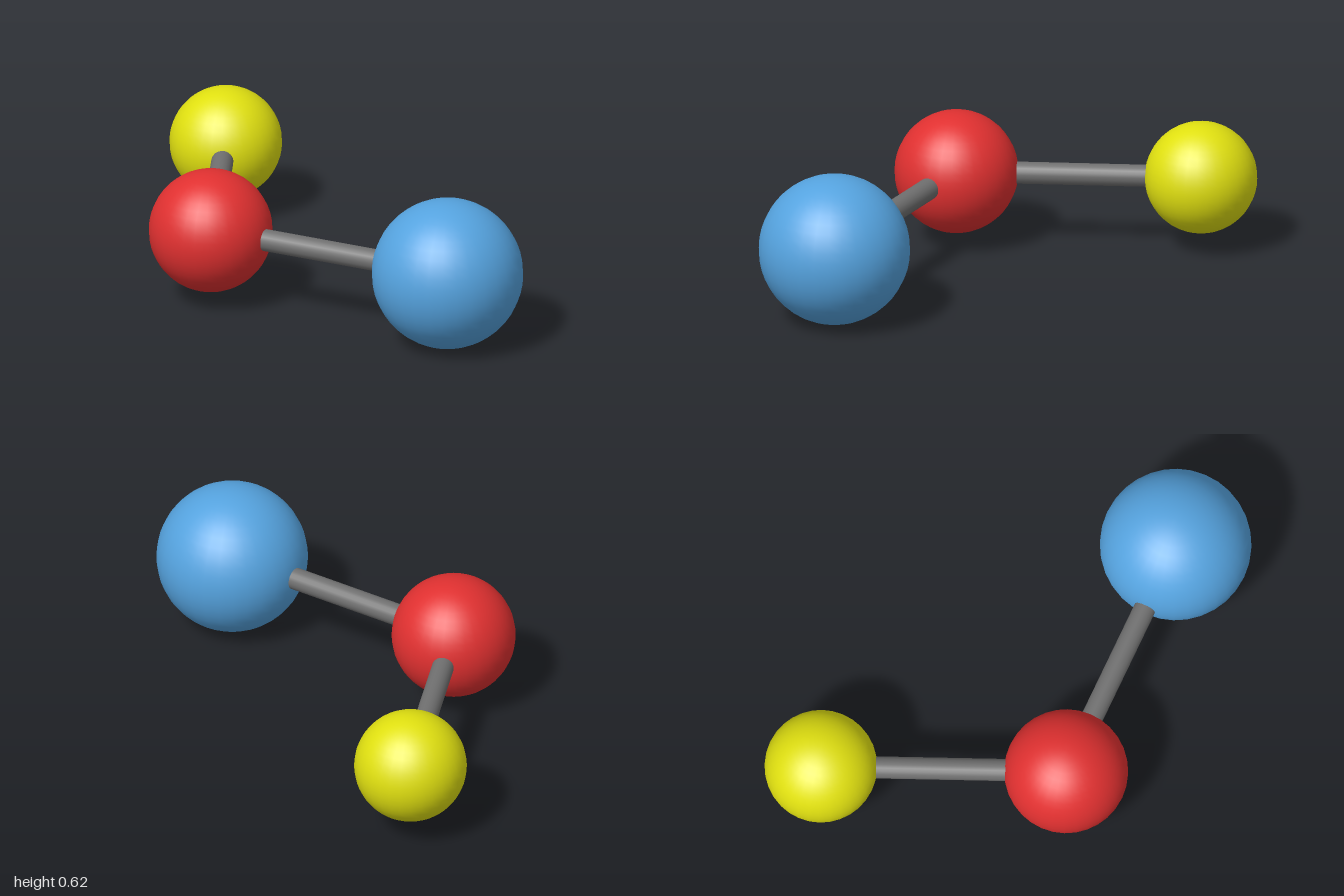
import * as THREE from 'three';

const Y = 0.31;

function makeMaterial(color) {
  return new THREE.MeshStandardMaterial({ color });
}

// Smooth ball centred at a point
function makeBall(name, center, radius, color) {
  const ball = new THREE.Mesh(new THREE.SphereGeometry(radius, 32, 24), makeMaterial(color));
  ball.name = name;
  ball.position.copy(center);
  return ball;
}

// Round rod running between two points
function makeRod(name, from, to, radius, color) {
  const dir = to.clone().sub(from);
  const rod = new THREE.Mesh(
    new THREE.CylinderGeometry(radius, radius, dir.length(), 20),
    makeMaterial(color)
  );
  rod.name = name;
  rod.position.copy(from).add(to).multiplyScalar(0.5);
  rod.quaternion.setFromUnitVectors(new THREE.Vector3(0, 1, 0), dir.normalize());
  return rod;
}

export function createModel() {
  const group = new THREE.Group();
  group.name = 'moleculeModel';

  const red = new THREE.Vector3(-0.383, Y, 0.416);
  const blue = new THREE.Vector3(0.692, Y, 0.419);
  const yellow = new THREE.Vector3(-0.772, Y, -0.5);

  // Atoms
  group.add(makeBall('centralAtom', red, 0.252, 0xe03030));
  group.add(makeBall('largeAtom', blue, 0.308, 0x55a3df));
  group.add(makeBall('smallAtom', yellow, 0.229, 0xe0e010));

  // Bonds
  group.add(makeRod('longBond', red, blue, 0.045, 0x707070));
  group.add(makeRod('shortBond', red, yellow, 0.045, 0x707070));

  return group;
}
